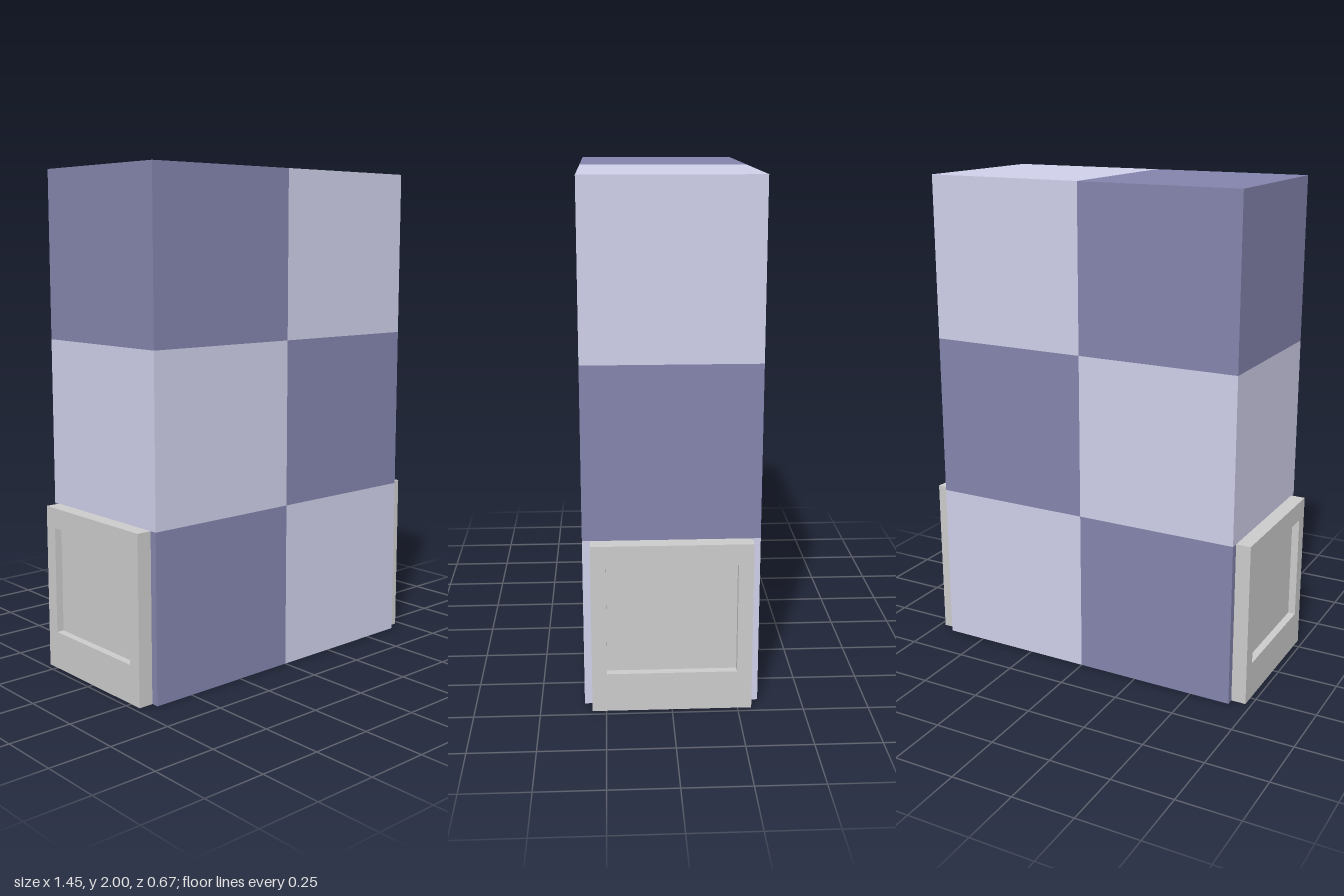
import * as THREE from 'three';

const S = 2 / 3; // side of one cube

function plane(parent, name, mat, w, h, pos, rx = 0, ry = 0) {
  const m = new THREE.Mesh(new THREE.PlaneGeometry(w, h), mat);
  m.name = name;
  m.position.set(...pos);
  m.rotation.set(rx, ry, 0);
  parent.add(m);
}

// Hollow side panel facing local +z, open underneath, with a recessed window
function sidePanel(mat) {
  const g = new THREE.Group();
  const hw = 0.303, T = 0.06, D = 0.03; // half width, thickness, recess depth
  const rw = 0.246, y0 = 0.153, y1 = 0.585; // recess bounds
  const Q = Math.PI / 2, cy = (y0 + y1) / 2, rh = y1 - y0;

  // Outer face with window cut out
  const face = new THREE.Shape([[-hw, 0], [hw, 0], [hw, S], [-hw, S]].map(p => new THREE.Vector2(...p)));
  face.holes.push(new THREE.Path([[-rw, y0], [-rw, y1], [rw, y1], [rw, y0]].map(p => new THREE.Vector2(...p))));
  const frame = new THREE.Mesh(new THREE.ShapeGeometry(face), mat);
  frame.name = 'panelFrame';
  frame.position.z = T;
  g.add(frame);

  // Top and edges
  plane(g, 'panelTop', mat, 2 * hw, T, [0, S, T / 2], -Q);
  for (const s of [-1, 1]) plane(g, 'panelEdge', mat, T, S, [s * hw, S / 2, T / 2], 0, s * Q);

  // Recess floor and walls
  plane(g, 'recessFloor', mat, 2 * rw, rh, [0, cy, T - D]);
  for (const s of [-1, 1]) plane(g, 'recessSide', mat, D, rh, [s * rw, cy, T - D / 2], 0, -s * Q);
  plane(g, 'recessSill', mat, 2 * rw, D, [0, y0, T - D / 2], -Q);
  plane(g, 'recessLintel', mat, 2 * rw, D, [0, y1, T - D / 2], Q);
  return g;
}

export function createModel() {
  const model = new THREE.Group();
  const dark = new THREE.MeshStandardMaterial({ color: 0x8484ad });
  const light = new THREE.MeshStandardMaterial({ color: 0xcfcfea });
  const grey = new THREE.MeshStandardMaterial({ color: 0xcccccc, side: THREE.DoubleSide });

  // Checkered wall, two cubes wide and three high
  const wall = new THREE.Group();
  wall.name = 'checkeredWall';
  const cube = new THREE.BoxGeometry(S, S, S);
  for (let col = 0; col < 2; col++) {
    for (let row = 0; row < 3; row++) {
      const block = new THREE.Mesh(cube, (col + row) % 2 ? light : dark);
      block.name = 'wallBlock';
      block.position.set((col - 0.5) * S, (row + 0.5) * S, 0);
      wall.add(block);
    }
  }
  model.add(wall);

  // Mirrored side panels on the bottom row
  for (const s of [-1, 1]) {
    const panel = sidePanel(grey);
    panel.name = s > 0 ? 'leftPanel' : 'rightPanel';
    panel.position.x = s * S;
    panel.rotation.y = s * Math.PI / 2;
    model.add(panel);
  }
  return model;
}
